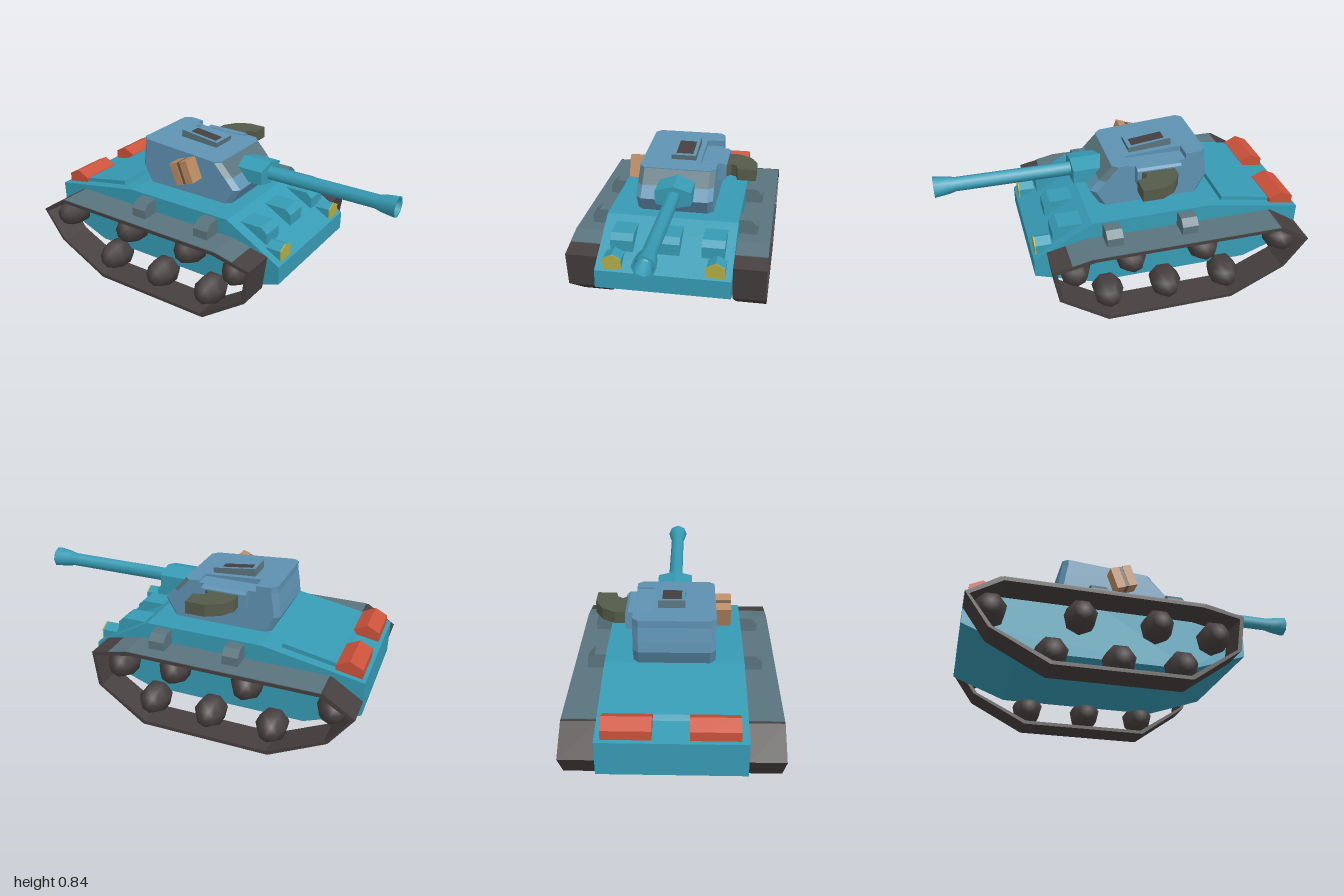
import * as THREE from 'three';
import { toCreasedNormals } from 'three/addons/utils/BufferGeometryUtils.js';

const paint = (name, color) => Object.assign(new THREE.MeshStandardMaterial({ color }), { name });

// Prisms: a side profile [x,y] along z, a front profile [z,y] along x, a plan [x,z] along y
function extrude(pts, depth, hole) {
  const shape = new THREE.Shape(pts.map(p => new THREE.Vector2(...p)));
  if (hole) shape.holes.push(new THREE.Path(hole.map(p => new THREE.Vector2(...p))));
  return new THREE.ExtrudeGeometry(shape, { depth, bevelEnabled: false });
}
const prismZ = (pts, z0, z1, hole) => extrude(pts, z1 - z0, hole).translate(0, 0, z0);
const prismX = (pts, x0, x1) =>
  extrude(pts.map(([z, y]) => [-z, y]), x1 - x0).rotateY(Math.PI / 2).translate(x0, 0, 0);
const prismY = (pts, y0, y1, hole) => {
  const flip = a => a && a.map(([x, z]) => [x, -z]);
  return extrude(flip(pts), y1 - y0, flip(hole)).rotateX(-Math.PI / 2).translate(0, y0, 0);
};
const rect = (x0, x1, z0, z1) => [[x0, z0], [x1, z0], [x1, z1], [x0, z1]];

// Chamfered rectangle used for the turret sections
const W = 0.217, C = 0.03;
const ring = (xb, xf) => [[xf, W - C], [xf, C - W], [xf - C, -W], [xb + C, -W],
  [xb, C - W], [xb, W - C], [xb + C, W], [xf - C, W]];

// Turret walls from stacked sections; the upper front faces use the second material
function turretWalls(levels) {
  const main = [], front = [];
  const at = (l, i) => {
    const [y, xb, xf] = levels[l], [x, z] = ring(xb, xf)[i % 8];
    return [x, y, z];
  };
  const top = levels.length - 1;
  for (let l = 0; l < top; l++) for (let i = 0; i < 8; i++) {
    const [a, b, c, d] = [at(l, i), at(l, i + 1), at(l + 1, i + 1), at(l + 1, i)];
    const out = l === top - 1 && (i < 2 || i === 7) ? front : main;
    out.push(...a, ...b, ...c, ...a, ...c, ...d);
  }
  for (let i = 1; i < 7; i++) main.push(...at(top, 0), ...at(top, i), ...at(top, i + 1));
  const g = new THREE.BufferGeometry();
  g.setAttribute('position', new THREE.Float32BufferAttribute([...main, ...front], 3));
  g.addGroup(0, main.length / 3, 0);
  g.addGroup(main.length / 3, front.length / 3, 1);
  g.computeVertexNormals();
  return g;
}

export function createModel() {
  const teal = paint('teal hull paint', 0x369bb4), blue = paint('blue turret paint', 0x5e92b2);
  const grey = paint('grey fender', 0x5a747d), dark = paint('dark track', 0x463f3f);
  const red = paint('red', 0xcc523a), yellow = paint('yellow lamp', 0xb3ad45);
  const tan = paint('tan pack', 0xbb8b62), olive = paint('olive', 0x555b49);
  const brown = paint('brown strap', 0x67594a);

  const model = new THREE.Group();
  model.name = 'tank';
  const add = (name, geometry, material, parent = model) => {
    const m = new THREE.Mesh(geometry, material);
    m.name = name;
    parent.add(m);
    return m;
  };

  // Hull and rear deck
  add('hull', prismZ([[-1, 0.25], [-0.7, 0.135], [0.21, 0.135], [0.535, 0.25], [0.535, 0.355],
    [0.21, 0.54], [-0.45, 0.54], [-1, 0.44]], -0.37, 0.37), teal);
  add('engineDeck', prismZ([[-0.86, 0.46], [-0.545, 0.52], [-0.55, 0.547], [-0.84, 0.492]],
    -0.315, 0.315), teal);
  for (const z of [-0.34, 0.085])
    add('rearBox', prismZ([[-0.98, 0.43], [-0.84, 0.455], [-0.84, 0.495], [-0.91, 0.53],
      [-0.98, 0.495]], z, z + 0.245), red);

  // Blocks on the sloped front
  for (const z of [-0.32, -0.075, 0.18])
    add('frontBlock', prismZ([[0.25, 0.5], [0.42, 0.41], [0.42, 0.485], [0.385, 0.515],
      [0.25, 0.515]], z, z + 0.125), teal);

  // Headlights with a thin lamp face
  for (const z of [-0.285, 0.275]) {
    const face = [[z - 0.05, 0.36], [z + 0.05, 0.36], [z + 0.05, 0.422], [z, 0.45], [z - 0.05, 0.422]];
    add('headlightHousing', prismX(face, 0.43, 0.515), teal);
    add('headlightLamp', prismX(face, 0.515, 0.522), yellow);
  }

  // Tracks, fenders and wheels on both sides
  const outer = [[-1, 0.335], [-0.875, 0.16], [-0.565, 0.005], [0.165, 0.005], [0.437, 0.195],
    [0.465, 0.397], [0.25, 0.442], [-0.835, 0.442]].map(([x, y]) => [x, y === 0.005 ? 0 : y]);
  const inner = outer.map(([x, y]) => [-0.27 + (x + 0.27) * 0.968, 0.222 + (y - 0.222) * 0.91]);
  const wheelGeo = new THREE.SphereGeometry(0.09, 7, 5).rotateX(Math.PI / 2);
  // turn the heptagon so that one corner points up
  wheelGeo.rotateZ(Math.PI / 2).scale(1, 1, 1.3);
  const wheels = [[-0.87, 0.31], [-0.403, 0.335], [0.013, 0.335], [0.33, 0.307],
    [-0.548, 0.107], [-0.195, 0.107], [0.142, 0.112]];
  for (const s of [-1, 1]) {
    const z0 = s > 0 ? 0.37 : -0.55;
    add('track', prismZ(outer, z0, z0 + 0.18, inner), dark);
    add('fender', prismZ([[-0.82, 0.437], [0.25, 0.437], [0.36, 0.414], [0.36, 0.423],
      [0.25, 0.446], [-0.82, 0.446]], z0 + 0.001, z0 + 0.179), grey);
    for (const x of [-0.36, 0.063])
      add('fenderBox', prismX([[0.36, 0.44], [0.473, 0.44], [0.473, 0.495], [0.435, 0.53],
        [0.36, 0.53]].map(([z, y]) => [z * s, y]), x, x + 0.09), grey);
    for (const [x, y] of wheels) add('wheel', wheelGeo, dark).position.set(x, y, s * 0.425);
  }

  // Turret
  const turret = new THREE.Group();
  turret.name = 'turret';
  model.add(turret);
  add('turretBody', turretWalls([[0.54, -0.45, 0.125], [0.63, -0.495, 0.178],
    [0.69, -0.488, 0.125], [0.765, -0.475, 0.055]]), [blue, grey], turret);

  // Sloping roof with a notch on the right side
  const plan = ring(-0.475, 0.055);
  plan.splice(3, 0, [-0.035, -W], [-0.035, -0.12], [-0.36, -0.12], [-0.36, -W]);
  const roof = prismY(plan, 0.765, 0.8);
  const p = roof.attributes.position;
  for (let i = 0; i < p.count; i++)
    if (p.getY(i) > 0.78) p.setY(i, 0.805 - 0.067 * (p.getX(i) + 0.475));
  roof.computeVertexNormals();
  add('turretRoof', roof, blue, turret);

  // Open roof hatch
  const hatch = new THREE.Group();
  hatch.name = 'hatch';
  hatch.position.set(-0.193, 0.78, -0.017);
  hatch.rotation.z = -0.12;
  turret.add(hatch);
  add('hatchFrame', prismY(rect(-0.122, 0.122, -0.072, 0.072), -0.01, 0.042,
    rect(-0.1, 0.1, -0.053, 0.053)), [blue, grey], hatch);
  add('hatchOpening', new THREE.BoxGeometry(0.2, 0.008, 0.106).translate(0, 0.016, 0), dark, hatch);

  // Side mount and curved olive arm
  add('sideMount', prismX([[-0.21, 0.665], [-0.265, 0.672], [-0.265, 0.757], [-0.25, 0.768],
    [-0.21, 0.768]], -0.32, -0.07), blue, turret);
  add('sideArm', prismY([[-0.28, -0.26], [-0.28, -0.325], [-0.235, -0.395], [-0.16, -0.437],
    [-0.05, -0.437], [-0.05, -0.332], [-0.1, -0.32], [-0.118, -0.29], [-0.09, -0.26]],
    0.682, 0.75), olive, turret);

  // Strapped pack on the left side
  const pack = new THREE.Group();
  pack.name = 'pack';
  pack.position.set(-0.138, 0.695, 0.255);
  pack.rotation.z = 0.35;
  turret.add(pack);
  for (const x of [-0.036, 0.036])
    add('packRoll', new THREE.BoxGeometry(0.05, 0.13, 0.095).translate(x, 0, 0), tan, pack);
  add('packStrap', new THREE.BoxGeometry(0.024, 0.126, 0.088), brown, pack);

  // Mantlet and gun barrel with a hollow muzzle
  add('mantlet', prismX([[-0.11, 0.64], [-0.01, 0.617], [0.09, 0.64], [0.09, 0.717],
    [-0.01, 0.745], [-0.11, 0.717]], 0.045, 0.25), teal, turret);
  const barrel = new THREE.LatheGeometry([[0.04, 0.2], [0.04, 0.885], [0.049, 0.92], [0.06, 1],
    [0.05, 1], [0.03, 0.9], [0, 0.88]].map(a => new THREE.Vector2(...a)), 8);
  barrel.rotateZ(-Math.PI / 2).translate(0, 0.68, -0.01);
  add('gunBarrel', toCreasedNormals(barrel, 0.9), teal, turret);

  return model;
}
